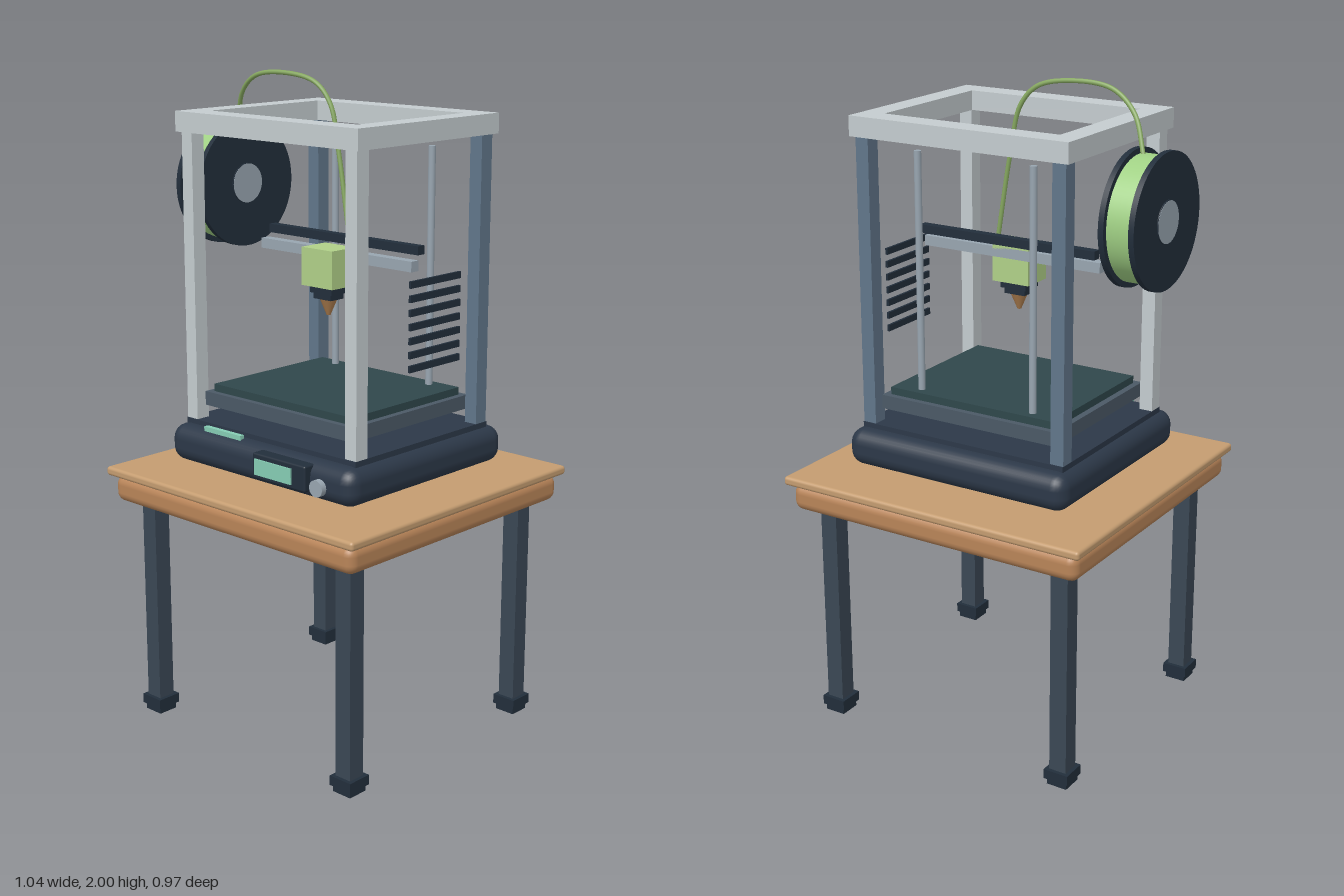
import * as THREE from 'three';
import { RoundedBoxGeometry } from 'three/addons/geometries/RoundedBoxGeometry.js';

const CX = 0.006; // the table and printer sit slightly off x = 0 because of the spool

const COLORS = {
  wood: 0xc49c70, woodDark: 0xb88458, leg: 0x3a4754, dark: 0x222e3b, base: 0x2c3848,
  frame: 0xc4cccf, slate: 0x61768a, metal: 0x98a5b0, bed: 0x4b5966, plate: 0x2f474b,
  green: 0xa0d084, head: 0xb0d088, filament: 0x86a860, screen: 0x86cdb4, brass: 0xb08050,
};
const mats = {};
for (const [key, color] of Object.entries(COLORS)) mats[key] = new THREE.MeshStandardMaterial({ color });

export function createModel() {
  const model = new THREE.Group();

  const group = (name) => {
    const g = new THREE.Group();
    g.name = name;
    model.add(g);
    return g;
  };
  const add = (parent, name, geometry, mat, x, y, z) => {
    const mesh = new THREE.Mesh(geometry, mats[mat]);
    mesh.name = name;
    mesh.position.set(x, y, z);
    parent.add(mesh);
    return mesh;
  };
  // Box given by its centre in x and z, and its bottom and top
  const box = (parent, name, mat, w, d, y0, y1, x = CX, z = 0, radius = 0) => {
    const h = y1 - y0;
    const geo = radius ? new RoundedBoxGeometry(w, h, d, 3, radius) : new THREE.BoxGeometry(w, h, d);
    return add(parent, name, geo, mat, x, (y0 + y1) / 2, z);
  };
  // Cylinder along y, or along x / z when an axis is given
  const cylinder = (parent, name, mat, r, length, x, y, z, axis = 'y', rBottom = r, sides = 40) => {
    const geo = new THREE.CylinderGeometry(r, rBottom, length, sides);
    if (axis === 'x') geo.rotateZ(Math.PI / 2);
    if (axis === 'z') geo.rotateX(Math.PI / 2);
    return add(parent, name, geo, mat, x, y, z);
  };
  const corners = [[-1, -1], [1, -1], [-1, 1], [1, 1]];

  // Table
  const table = group('table');
  box(table, 'tableTop', 'wood', 1.028, 0.974, 0.782, 0.81, CX, 0, 0.01);
  box(table, 'tableApron', 'woodDark', 0.994, 0.944, 0.7, 0.784, CX, 0, 0.03);
  for (const [sx, sz] of corners) {
    const x = CX + sx * 0.409, z = sz * 0.381;
    box(table, 'tableLeg', 'leg', 0.056, 0.056, 0.03, 0.71, x, z);
    box(table, 'footCollar', 'dark', 0.08, 0.08, 0.02, 0.05, x, z);
    box(table, 'footPad', 'dark', 0.066, 0.066, 0, 0.02, x, z);
  }

  // Printer base with its deck
  const base = group('printerBase');
  box(base, 'baseBody', 'base', 0.762, 0.692, 0.83, 0.945, CX, 0, 0.045);
  box(base, 'baseDeck', 'base', 0.7, 0.59, 0.935, 0.96);
  box(base, 'statusStrip', 'screen', 0.157, 0.016, 0.94, 0.955, -0.162, 0.312);

  // Control panel and knob
  const panel = group('controlPanel');
  box(panel, 'panelHousing', 'dark', 0.213, 0.05, 0.858, 0.936, 0.122, 0.343, 0.006);
  box(panel, 'screen', 'screen', 0.148, 0.012, 0.872, 0.92, 0.102, 0.367);
  cylinder(panel, 'knob', 'metal', 0.025, 0.018, 0.281, 0.885, 0.37, 'z');

  // Upright posts and top frame
  const frame = group('frame');
  for (const [sx, sz] of corners)
    box(frame, sz > 0 ? 'frontPost' : 'backPost', sz > 0 ? 'frame' : 'slate',
      0.043, 0.047, 0.945, 1.84, CX + sx * 0.328, sz * 0.268);
  for (const s of [-1, 1]) {
    box(frame, 'topCrossBar', 'frame', 0.726, 0.077, 1.83, 1.89, CX, s * 0.2655);
    box(frame, 'topSideBar', 'frame', 0.071, 0.456, 1.83, 1.89, CX + s * 0.3275, 0);
  }

  // Heated bed
  const bed = group('printBed');
  box(bed, 'bedCarriage', 'bed', 0.61, 0.516, 1.0, 1.043);
  box(bed, 'buildPlate', 'plate', 0.57, 0.478, 1.043, 1.066);

  // Vertical rods and horizontal rails
  const motion = group('motionSystem');
  for (const s of [-1, 1])
    cylinder(motion, 'verticalRod', 'metal', 0.011, 0.8, CX + s * 0.195, 1.39, -0.205, 'y', 0.011, 16);
  box(motion, 'darkRail', 'dark', 0.605, 0.028, 1.5, 1.526, CX, -0.034);
  box(motion, 'metalRail', 'metal', 0.61, 0.032, 1.455, 1.486, CX, -0.004);

  // Print head
  const head = group('printHead');
  box(head, 'headBlock', 'head', 0.124, 0.102, 1.38, 1.495, 0.004, 0.031);
  box(head, 'heatSink', 'dark', 0.088, 0.07, 1.358, 1.38, 0.004, 0.031);
  box(head, 'heatBlock', 'dark', 0.07, 0.056, 1.34, 1.358, 0.004, 0.031);
  cylinder(head, 'nozzle', 'brass', 0.027, 0.05, 0.004, 1.315, 0.031, 'y', 0.006, 20);

  // Spool on the side
  const spool = group('spool');
  const sx = -0.465, sy = 1.64, sz = -0.037;
  cylinder(spool, 'woundFilament', 'green', 0.181, 0.08, sx, sy, sz, 'x', 0.181, 64);
  for (const s of [-1, 1]) {
    cylinder(spool, 'spoolFlange', 'dark', 0.197, 0.017, sx + s * 0.0465, sy, sz, 'x', 0.197, 64);
    cylinder(spool, 'hub', 'dark', 0.063, 0.012, sx + s * 0.052, sy, sz, 'x');
    cylinder(spool, 'hubCap', 'metal', 0.061, 0.002, sx + s * 0.058, sy, sz, 'x');
  }

  // Filament strand from the spool to the print head
  const path = new THREE.CatmullRomCurve3([
    [-0.44, 1.81, -0.035], [-0.39, 1.92, 0], [-0.31, 1.98, 0.017], [-0.19, 1.993, 0.011],
    [-0.075, 1.97, 0.002], [-0.02, 1.91, -0.003], [0.013, 1.77, -0.004], [0.06, 1.49, -0.004],
  ].map((p) => new THREE.Vector3(...p)));
  add(model, 'filamentStrand', new THREE.TubeGeometry(path, 64, 0.007, 10), 'filament', 0, 0, 0);

  // Side vent slats
  const vent = group('sideVent');
  for (let i = 0; i < 7; i++) {
    const y = 1.2 + i * 0.0405;
    box(vent, 'ventSlat', 'dark', 0.008, 0.22, y - 0.01, y + 0.01, 0.391, 0);
  }

  return model;
}
